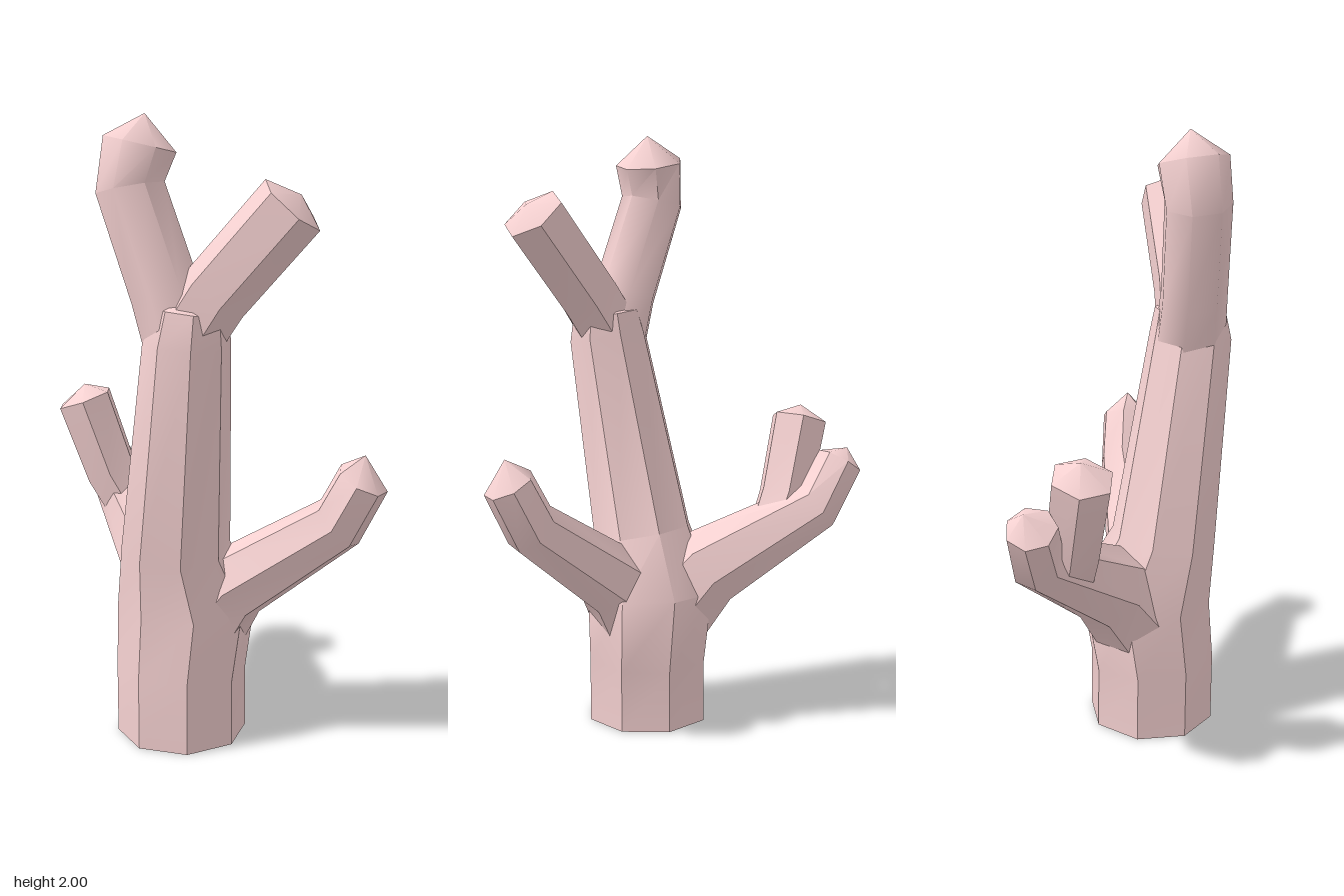
import * as THREE from 'three';
import { toCreasedNormals } from 'three/addons/utils/BufferGeometryUtils.js';

const material = new THREE.MeshStandardMaterial({ color: 0xf4d0d0 });
const UP = new THREE.Vector3(0, 1, 0);

// Faceted limb: rings are [x, y, z, radius], closed by a blunt point at tip.
// Each ring is mitred to the direction of the path.
function limb(name, sides, turn, rings, tip, crease = 0.72) {
  const centres = rings.map(([x, y, z]) => new THREE.Vector3(x, y, z));
  const pos = [], idx = [];
  rings.forEach(([, y, , r], i) => {
    const before = centres[Math.max(i - 1, 0)];
    const after = centres[Math.min(i + 1, rings.length - 1)];
    const dir = after.clone().sub(before).normalize();
    if (y === 0) dir.copy(UP);
    const q = new THREE.Quaternion().setFromUnitVectors(UP, dir);
    for (let j = 0; j < sides; j++) {
      const a = turn + (j / sides) * Math.PI * 2;
      const p = new THREE.Vector3(Math.cos(a) * r, 0, Math.sin(a) * r);
      pos.push(...p.applyQuaternion(q).add(centres[i]).toArray());
    }
  });
  const last = rings.length - 1;
  const top = rings.length * sides, bottom = top + 1;
  pos.push(...tip, ...centres[0].toArray());
  for (let j = 0; j < sides; j++) {
    const k = (j + 1) % sides;
    for (let i = 0; i < last; i++) {
      const a = i * sides + j, b = i * sides + k;
      idx.push(a, a + sides, b, b, a + sides, b + sides);
    }
    idx.push(last * sides + j, top, last * sides + k);
    idx.push(bottom, j, k);
  }
  const geo = new THREE.BufferGeometry();
  geo.setAttribute('position', new THREE.Float32BufferAttribute(pos, 3));
  geo.setIndex(idx);
  const mesh = new THREE.Mesh(toCreasedNormals(geo, crease), material);
  mesh.name = name;
  return mesh;
}

export function createModel() {
  const group = new THREE.Group();
  group.name = 'branchingCoral';
  group.add(
    // Eight-sided trunk, swelling at the lower fork and leaning forward above
    limb('trunk', 8, -0.096, [
      [-0.11, 0, 0.16, 0.212],
      [-0.11, 0.22, 0.16, 0.212],
      [-0.09, 0.45, 0.135, 0.228],
      [-0.125, 0.65, 0.19, 0.175],
      [-0.085, 1.33, 0.3, 0.135],
      [-0.075, 1.42, 0.3, 0.115],
    ], [-0.08, 1.49, 0.3]),

    // Crown branch with a swollen, pointed end
    limb('crownBranch', 7, 0.2, [
      [-0.09, 1.28, 0.29, 0.12],
      [-0.15, 1.47, 0.27, 0.11],
      [-0.255, 1.78, 0.22, 0.108],
      [-0.225, 1.91, 0.215, 0.115],
    ], [-0.21, 2.0, 0.215], 0.95),

    // Upper branch on the left
    limb('upperBranch', 6, 0.3, [
      [-0.06, 1.38, 0.3, 0.11],
      [0.0, 1.475, 0.325, 0.11],
      [0.225, 1.74, 0.387, 0.11],
    ], [0.25, 1.77, 0.393]),

    // Lower branch on the left, bending upward
    limb('lowerBranch', 7, 0.1, [
      [-0.05, 0.36, 0.17, 0.15],
      [0.06, 0.515, 0.2, 0.125],
      [0.385, 0.75, 0.3, 0.093],
      [0.455, 0.9, 0.335, 0.085],
    ], [0.46, 0.98, 0.345]),

    // Rear branch, bending upward
    limb('rearBranch', 7, 0.2, [
      [-0.13, 0.36, 0.1, 0.16],
      [-0.185, 0.54, -0.04, 0.14],
      [-0.36, 0.755, -0.365, 0.09],
      [-0.44, 0.9, -0.415, 0.08],
    ], [-0.44, 0.95, -0.44]),

    // Short fork rising from the rear branch
    limb('rearFork', 6, 0.5, [
      [-0.28, 0.64, -0.23, 0.09],
      [-0.36, 0.78, -0.245, 0.095],
      [-0.45, 1.035, -0.255, 0.1],
    ], [-0.45, 1.085, -0.26]),
  );
  return group;
}
